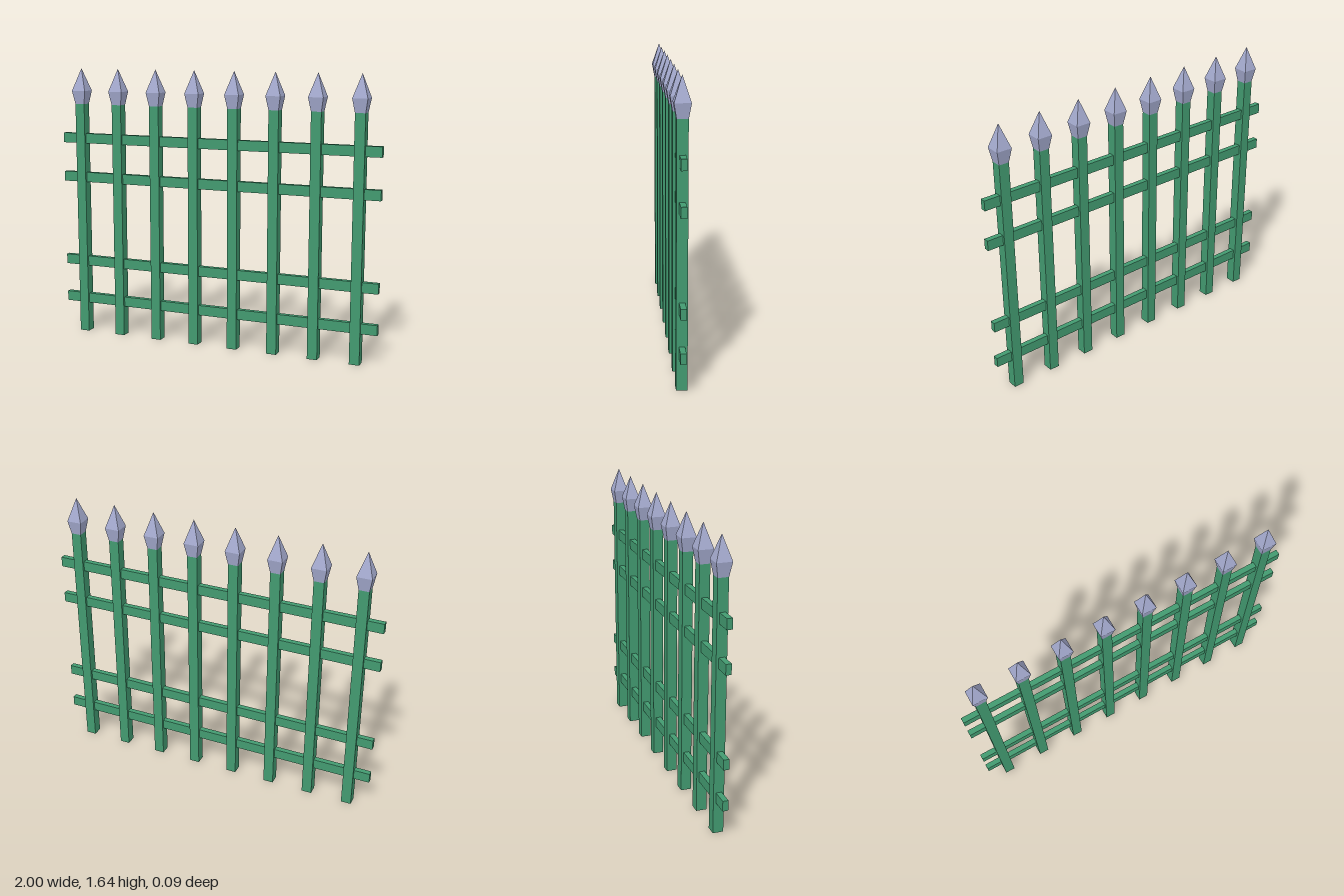
import * as THREE from 'three';

const POSTS = 8;
const SPACING = 0.25;
const POST_HEIGHT = 1.43;
const RAIL_HEIGHTS = [0.212, 0.452, 0.98, 1.22];

// Four-sided spearhead with flat faces, flaring out and then tapering to a point
function spearheadGeometry() {
  const profile = [[0.03, 0], [0.044, 0.08], [0, 0.215]]
    .map(([half, y]) => new THREE.Vector2(half * Math.SQRT2, y));
  const geometry = new THREE.LatheGeometry(profile, 4, Math.PI / 4).toNonIndexed();
  geometry.computeVertexNormals();
  return geometry;
}

export function createModel() {
  const model = new THREE.Group();
  model.name = 'fence';

  const greenPaint = new THREE.MeshStandardMaterial({ color: 0x429a70 });
  greenPaint.name = 'green paint';
  const paleSteel = new THREE.MeshStandardMaterial({ color: 0xa4aace });
  paleSteel.name = 'pale steel';

  const add = (name, geometry, material, x, y) => {
    const mesh = new THREE.Mesh(geometry, material);
    mesh.name = name;
    mesh.position.set(x, y, 0);
    model.add(mesh);
  };

  // Upright posts, each topped with a spearhead
  const post = new THREE.BoxGeometry(0.06, POST_HEIGHT, 0.06);
  const spearhead = spearheadGeometry();
  for (let i = 0; i < POSTS; i++) {
    const x = (i - (POSTS - 1) / 2) * SPACING;
    add('post', post, greenPaint, x, POST_HEIGHT / 2);
    add('spearhead', spearhead, paleSteel, x, POST_HEIGHT);
  }

  // Horizontal rails passing through the posts
  const rail = new THREE.BoxGeometry(2, 0.06, 0.032);
  for (const y of RAIL_HEIGHTS) add('rail', rail, greenPaint, 0, y);

  return model;
}
